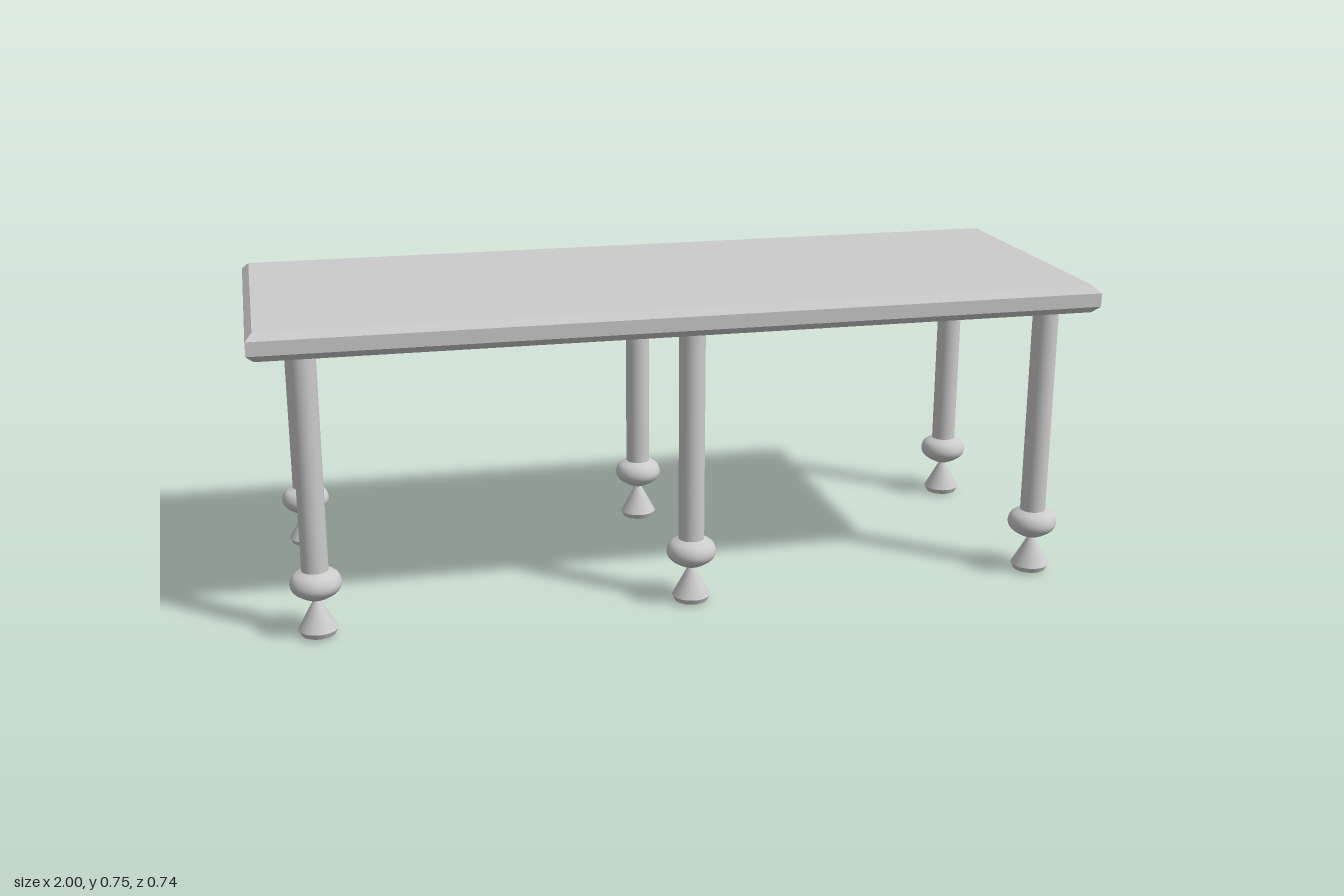
import * as THREE from 'three';

const material = new THREE.MeshStandardMaterial({ color: 0xcccccc });

// Surface of revolution from [radius, height] pairs, leaning in z by lean(y)
function turned(name, points, lean) {
  const geometry = new THREE.LatheGeometry(points.map(([r, y]) => new THREE.Vector2(r, y)), 32);
  const pos = geometry.attributes.position;
  for (let i = 0; i < pos.count; i++) pos.setZ(i, pos.getZ(i) + lean(pos.getY(i)));
  const mesh = new THREE.Mesh(geometry, material);
  mesh.name = name;
  return mesh;
}

function createLeg(name, x, z, shift = 0) {
  const leg = new THREE.Group();
  leg.name = name;
  // Lean fades out from the bulb up to the top of the column
  const lean = (y) => shift * THREE.MathUtils.clamp((0.62 - y) / 0.42, 0, 1) * THREE.MathUtils.smoothstep(y, 0.06, 0.1);

  // Foot: shallow base, short rim and a cone up to the bulb
  leg.add(turned('footBase', [[0, 0], [0.032, 0.001], [0.04, 0.004]], lean));
  leg.add(turned('footRim', [[0.04, 0.004], [0.046, 0.017]], lean));
  leg.add(turned('footCone', [[0.046, 0.017], [0.009, 0.086], [0.006, 0.095]], lean));

  // Flattened bulb
  const bulb = new THREE.SplineCurve([
    [0.006, 0.086], [0.03, 0.096], [0.053, 0.112], [0.06, 0.13], [0.052, 0.15], [0.031, 0.162],
  ].map(([r, y]) => new THREE.Vector2(r, y))).getPoints(20);
  leg.add(turned('bulb', bulb.map((p) => [p.x, p.y]), lean));

  // Column and its flat end
  const column = [];
  for (let i = 0; i <= 8; i++) column.push([0.031, 0.16 + (0.513 * i) / 8]);
  leg.add(turned('column', column, lean));
  leg.add(turned('columnTop', [[0.031, 0.673], [0, 0.673]], lean));

  leg.position.set(x, 0, z);
  return leg;
}

// Slab with chamfered upper and lower edges
function createTop() {
  const bevel = 0.0165, w = 1 - bevel, d = 0.372 - bevel;
  const shape = new THREE.Shape([[-w, -d], [w, -d], [w, d], [-w, d]].map(([x, y]) => new THREE.Vector2(x, y)));
  const geometry = new THREE.ExtrudeGeometry(shape, {
    depth: 0.033, bevelEnabled: true, bevelThickness: bevel, bevelSize: bevel, bevelSegments: 1,
  });
  geometry.rotateX(-Math.PI / 2);
  const top = new THREE.Mesh(geometry, material);
  top.name = 'tableTop';
  top.position.y = 0.681 + bevel;
  return top;
}

export function createModel() {
  const table = new THREE.Group();
  table.name = 'table';
  table.add(createTop());
  // Three legs along each long side; the back right one leans slightly
  [['Right', -0.88], ['Middle', 0.012], ['Left', 0.897]].forEach(([side, x]) => {
    table.add(createLeg('frontLeg' + side, x, 0.291));
    table.add(createLeg('backLeg' + side, x, -0.308, side === 'Right' ? 0.016 : 0));
  });
  return table;
}
